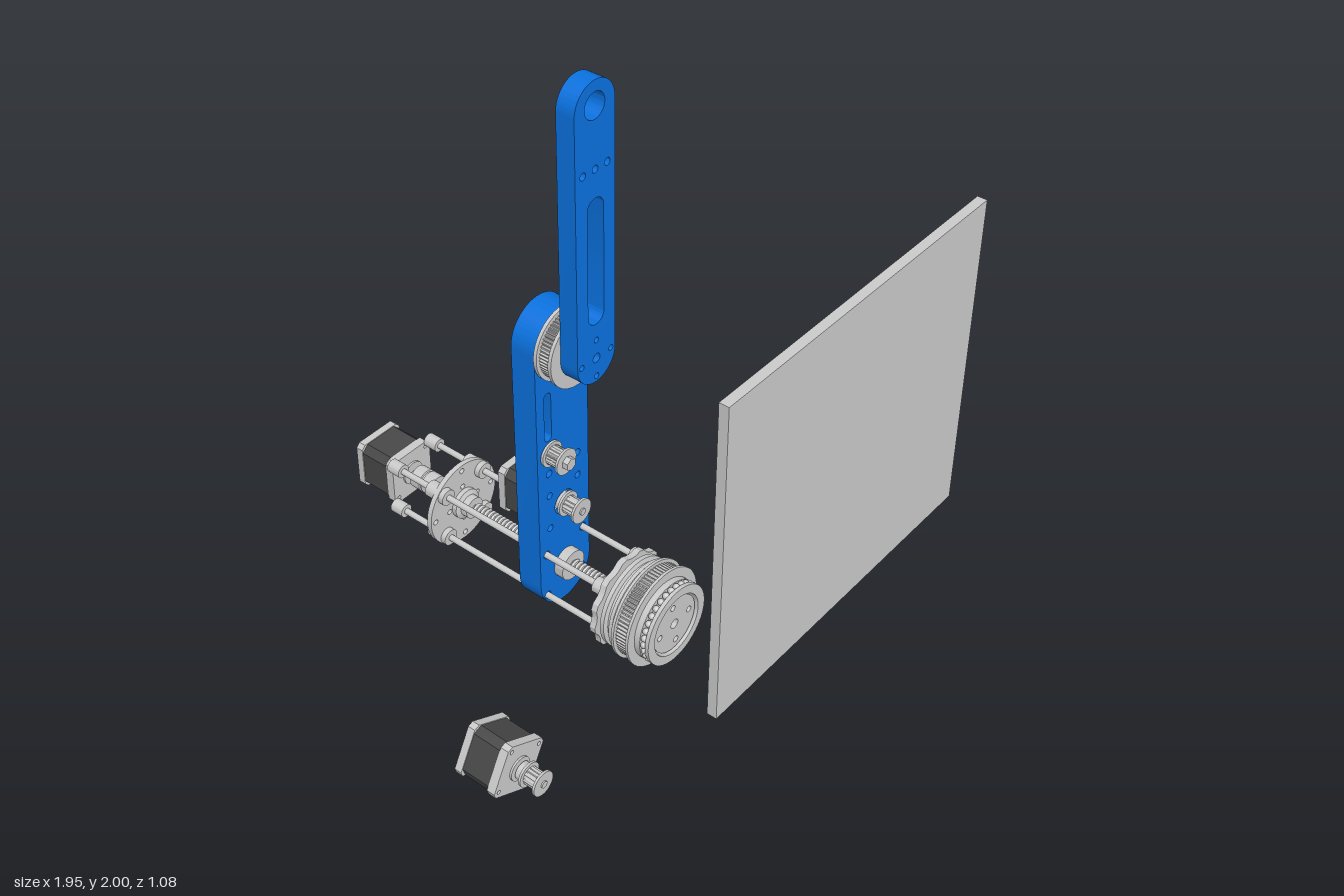
import * as THREE from 'three';
import { toCreasedNormals } from 'three/addons/utils/BufferGeometryUtils.js';

const grey = new THREE.MeshStandardMaterial({ color: 0xcccccc });
const dark = new THREE.MeshStandardMaterial({ color: 0x484848 });
const blue = new THREE.MeshStandardMaterial({ color: 0x0a72e0 });
const tan = new THREE.MeshStandardMaterial({ color: 0xa89e8c });

const AXIS_X = -0.417, BASE_Y = 0.503, ELBOW_Y = 1.235;
const RODS = [[1, 1], [-1, 1], [-1, -1], [1, -1]].map(([a, b]) => [a * 0.072, b * 0.072]);

export function createModel() {
  const model = new THREE.Group();

  const group = (name, x, y, z = 0, parent = model) => {
    const g = new THREE.Group();
    g.name = name;
    g.position.set(x, y, z);
    parent.add(g);
    return g;
  };
  const add = (parent, name, geo, mat = grey, x = 0, y = 0, z = 0) => {
    const m = new THREE.Mesh(geo, mat);
    m.name = name;
    m.position.set(x, y, z);
    parent.add(m);
    return m;
  };
  // Turned part about z from [radius, z] pairs, running from back to front
  const turned = (pts, seg = 48) => toCreasedNormals(
    new THREE.LatheGeometry(pts.map(p => new THREE.Vector2(...p)), seg).rotateX(Math.PI / 2), 0.5);
  const rod = (r, z0, z1, seg = 24) => turned([[0, z0], [r, z0], [r, z1], [0, z1]], seg);
  const extrude = (shape, z0, z1) => toCreasedNormals(new THREE.ExtrudeGeometry(shape,
    { depth: z1 - z0, bevelEnabled: false, curveSegments: 24 }).translate(0, 0, z0), 0.5);

  // Vertical slot outline between two arc centres, used for arms and holes
  const slot = (x, y0, y1, r, Type = THREE.Path) => {
    const s = new Type();
    s.moveTo(x + r, y0);
    s.lineTo(x + r, y1);
    s.absarc(x, y1, r, 0, Math.PI, false);
    s.lineTo(x - r, y0);
    s.absarc(x, y0, r, Math.PI, Math.PI * 2, false);
    return s;
  };
  const circle = (x, y, r, Type = THREE.Path) => new Type().absarc(x, y, r, 0, Math.PI * 2, false);
  // Disc outline with square teeth or lobes
  const toothed = (r, depth, n) => {
    const s = new THREE.Shape();
    for (let i = 0; i < n * 4; i++) {
      const a = (i + 0.5) / (n * 4) * Math.PI * 2, q = i % 4 < 2 ? r : r - depth;
      s[i ? 'lineTo' : 'moveTo'](Math.cos(a) * q, Math.sin(a) * q);
    }
    s.closePath();
    return s;
  };
  const ringHoles = (shape, n, radius, r, start = 0) => {
    for (let i = 0; i < n; i++) {
      const a = start + i / n * Math.PI * 2;
      shape.holes.push(circle(Math.cos(a) * radius, Math.sin(a) * radius, r));
    }
    return shape;
  };

  // Belt pulley: toothed drum between two flanges
  const pulley = (parent, r, z0, z1, teeth, f = 0.008, drum = 0.85) => {
    add(parent, 'pulleyDrum', extrude(toothed(r * drum, r * 0.05, teeth), z0 + f, z1 - f));
    add(parent, 'pulleyBackFlange', rod(r, z0, z0 + f, 48));
    add(parent, 'pulleyFrontFlange', rod(r, z1 - f, z1, 48));
  };

  // Stepper motor: chamfered square body with light end caps, shaft towards +z
  const motor = (name, x, y, z0, z1, turn = 0) => {
    const g = group(name, x, y);
    g.rotation.z = turn;
    const square = (h, c) => new THREE.Shape([[h, c - h], [h, h - c], [h - c, h], [c - h, h],
      [-h, h - c], [-h, c - h], [c - h, -h], [h - c, -h]].map(p => new THREE.Vector2(...p)));
    const face = ringHoles(square(0.073, 0.012), 4, 0.08, 0.006, Math.PI / 4);
    add(g, 'motorBackCap', extrude(square(0.073, 0.012), z0, z0 + 0.022));
    add(g, 'motorBody', extrude(square(0.071, 0.02), z0 + 0.022, z1 - 0.025), dark);
    add(g, 'motorFrontCap', extrude(face, z1 - 0.025, z1));
    add(g, 'motorBoss', rod(0.035, z1, z1 + 0.006, 32));
    add(g, 'motorShaft', rod(0.009, z1, z1 + 0.07));
    return g;
  };
  const motorPulley = (g, z) => {
    pulley(g, 0.036, z + 0.025, z + 0.078, 16, 0.007, 0.72);
    add(g, 'pulleyHub', rod(0.026, z + 0.006, z + 0.03));
    add(g, 'shaftTip', rod(0.01, z + 0.07, z + 0.082));
  };

  // Flat panel
  add(model, 'panel', new THREE.BoxGeometry(1.203, 1.102, 0.032), grey, 0.37, 0.551, 0.525);

  // Upper arm
  const upper = slot(0, ELBOW_Y, 1.93, 0.07, THREE.Shape);
  upper.holes.push(circle(0, 1.935, 0.035), slot(0, 1.366, 1.664, 0.029));
  for (const x of [-0.043, 0, 0.043]) upper.holes.push(circle(x, 1.77, 0.01));
  for (const [x, y] of [[0, 0], [0.054, 0], [-0.054, 0], [0, 0.054], [0, -0.054]])
    upper.holes.push(circle(x, ELBOW_Y + y, x || y ? 0.008 : 0.013));
  add(model, 'upperArm', extrude(upper, 0.222, 0.276), blue, AXIS_X);

  // Elbow joint: pulley, shaft and rear cap with screw holes
  const elbow = group('elbow', AXIS_X, ELBOW_Y);
  pulley(elbow, 0.105, 0.165, 0.221, 60, 0.01, 0.9);
  add(elbow, 'elbowShaft', rod(0.012, 0.076, 0.262));
  const cap = ringHoles(circle(0, 0, 0.078, THREE.Shape), 4, 0.054, 0.008);
  add(elbow, 'elbowCap', extrude(cap, 0.077, 0.088), blue);
  add(elbow, 'elbowSpacer', rod(0.06, 0.155, 0.17, 32));

  // Lower arm
  const lower = slot(0, 0.474, ELBOW_Y, 0.098, THREE.Shape);
  lower.holes.push(slot(-0.055, 0.962, 1.088, 0.013), circle(0, BASE_Y, 0.035), circle(0, 0.712, 0.036));
  for (const x of [-0.055, 0, 0.055]) lower.holes.push(circle(x, 0.842, 0.011));
  for (const x of [-0.055, 0.055])
    for (const y of [0.657, 0.767]) lower.holes.push(circle(x, y, 0.01));
  for (const [x, y] of RODS) lower.holes.push(circle(x, BASE_Y + y, 0.012));
  add(model, 'lowerArm', extrude(lower, 0.087, 0.162), blue, AXIS_X);

  // Belt tensioner
  const idler = group('tensioner', -0.472, 0.914);
  pulley(idler, 0.037, 0.168, 0.222, 20, 0.007, 0.75);
  add(idler, 'tensionerBolt', rod(0.01, 0.084, 0.235));
  add(idler, 'tensionerNut', rod(0.018, 0.218, 0.238, 6));

  // Motors for the arm, the lead screw and the separate base drive
  motorPulley(motor('armMotor', AXIS_X, 0.712, 0, 0.135), 0.145);
  motor('screwMotor', AXIS_X, BASE_Y, -0.542, -0.402);
  motorPulley(motor('looseMotor', -0.883, 0.277, 0.27, 0.405, -0.49), 0.409);

  // Base wheel: lobed rear plate, bearing housing, belt pulley and ball race
  const base = group('baseWheel', AXIS_X, BASE_Y);
  add(base, 'mountPlate', extrude(ringHoles(toothed(0.138, 0.008, 12), 4, 0.045, 0.008), 0.362, 0.38));
  add(base, 'bearingHousing', turned([[0, 0.378], [0.105, 0.378], [0.105, 0.39], [0.13, 0.39],
    [0.13, 0.402], [0.118, 0.406], [0.118, 0.415], [0.13, 0.418], [0.13, 0.428],
    [0.1, 0.432], [0.1, 0.442], [0, 0.442]]));
  pulley(base, 0.142, 0.436, 0.491, 72, 0.008, 0.93);
  add(base, 'rearRace', rod(0.115, 0.49, 0.508, 64));
  add(base, 'frontRace', turned([[0.088, 0.508], [0.1, 0.508], [0.1, 0.524], [0.116, 0.526],
    [0.116, 0.537], [0.09, 0.537], [0.088, 0.508]], 64));
  for (let i = 0; i < 32; i++) {
    const a = i / 32 * Math.PI * 2;
    add(base, 'bearingBall', new THREE.SphereGeometry(0.0095, 12, 8), grey,
      Math.cos(a) * 0.108, Math.sin(a) * 0.108, 0.517);
  }
  const hub = ringHoles(circle(0, 0, 0.084, THREE.Shape), 4, 0.06, 0.009, 0.12);
  hub.holes.push(circle(0, 0, 0.014));
  add(base, 'hubDisc', extrude(hub, 0.507, 0.53));

  // Linear guide: four rods with clamps, and a rear end plate
  const guide = group('linearGuide', AXIS_X, BASE_Y);
  for (const [x, y] of RODS) {
    add(guide, 'guideRod', rod(0.009, -0.39, 0.365), grey, x, y);
    add(guide, 'frontClamp', rod(0.022, 0.332, 0.365), grey, x, y);
    add(guide, 'rearClamp', rod(0.024, -0.255, -0.19), grey, x, y);
    add(guide, 'motorClamp', rod(0.02, -0.402, -0.36), grey, x, y);
  }
  const endPlate = ringHoles(circle(0, 0, 0.128, THREE.Shape), 4, 0.11, 0.008);
  ringHoles(endPlate, 4, 0.055, 0.008);
  add(guide, 'endPlate', extrude(endPlate, -0.221, -0.206));
  add(guide, 'endBearing', turned([[0, -0.255], [0.03, -0.255], [0.034, -0.235], [0.045, -0.222],
    [0.045, -0.192], [0.032, -0.186], [0.032, -0.165], [0, -0.165]]));
  add(guide, 'frontBearing', turned([[0, 0.335], [0.03, 0.335], [0.03, 0.35], [0.06, 0.352], [0.06, 0.366], [0, 0.366]]));

  // Threaded lead screw with its nut and the motor coupling
  const ridges = [[0, -0.3], [0.011, -0.3], [0.011, -0.16]];
  for (let i = 0; i < 40; i++) {
    const z = -0.16 + i * 0.0125;
    ridges.push([0.0165, z + 0.002], [0.021, z + 0.006], [0.0165, z + 0.011]);
  }
  ridges.push([0, 0.342]);
  add(guide, 'leadScrew', turned(ridges, 24));
  add(guide, 'nutFlange', rod(0.054, 0.052, 0.088, 32), tan);
  add(guide, 'nutBody', rod(0.044, 0.08, 0.19, 32));
  add(guide, 'coupling', turned([[0, -0.378], [0.033, -0.378], [0.033, -0.345], [0.029, -0.343],
    [0.029, -0.338], [0.033, -0.336], [0.033, -0.302], [0, -0.302]], 32));

  return model;
}
